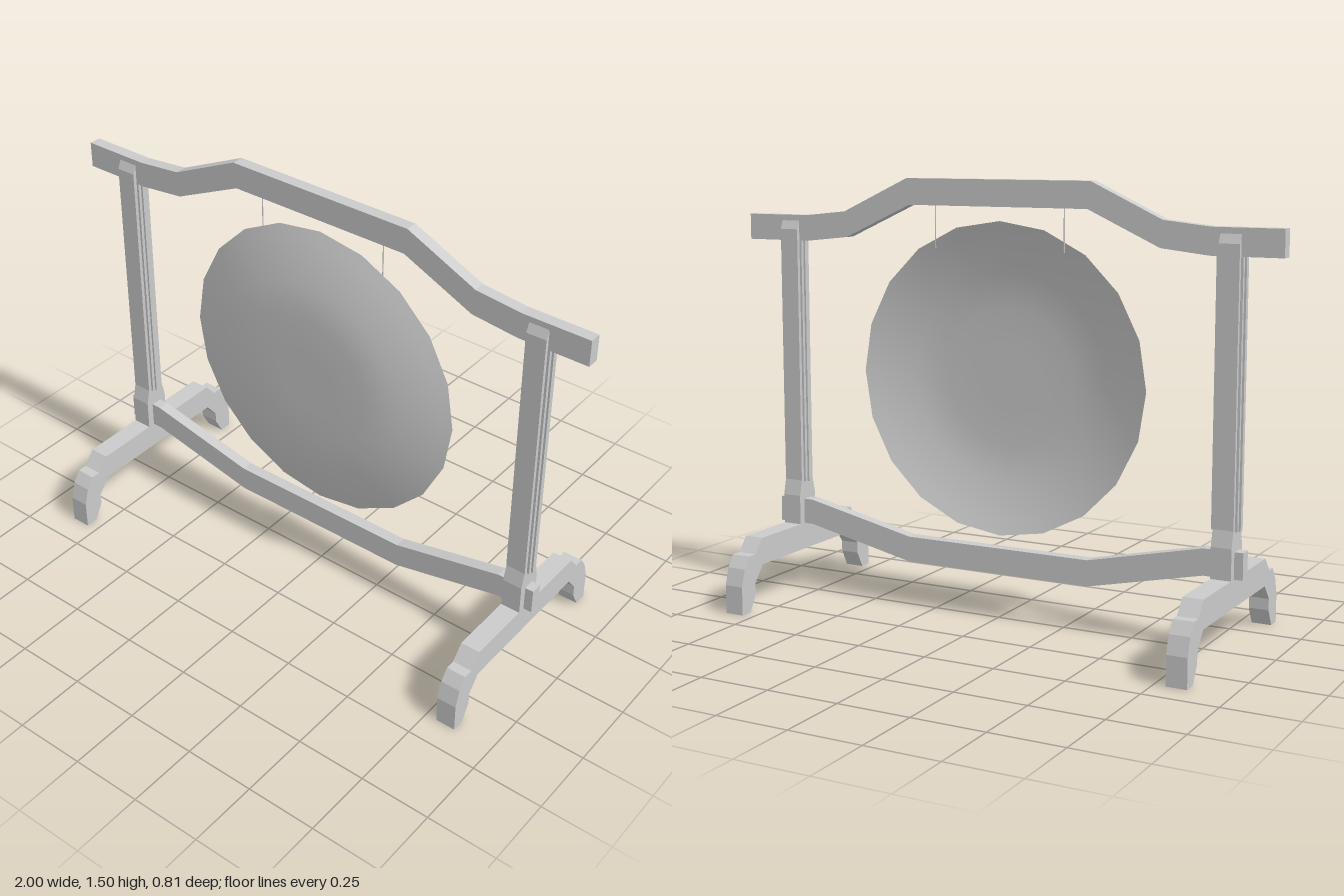
import * as THREE from 'three';

const material = new THREE.MeshStandardMaterial({ color: 0xcccccc, side: THREE.DoubleSide });

// Closed outline symmetric about the vertical axis, from its right half [u, v]
function mirroredShape(half) {
  const left = half.map(([u, v]) => [-u, v]).reverse();
  return new THREE.Shape([...half, ...left].map(([u, v]) => new THREE.Vector2(u, v)));
}

// Plate of the given thickness, centred on its own plane
function plate(name, half, thickness) {
  const geometry = new THREE.ExtrudeGeometry(mirroredShape(half), { depth: thickness, bevelEnabled: false });
  geometry.translate(0, 0, -thickness / 2);
  const mesh = new THREE.Mesh(geometry, material);
  mesh.name = name;
  return mesh;
}

function box(name, w, h, d, x, y, z) {
  const mesh = new THREE.Mesh(new THREE.BoxGeometry(w, h, d), material);
  mesh.name = name;
  mesh.position.set(x, y, z);
  return mesh;
}

export function createModel() {
  const model = new THREE.Group();
  model.name = 'gongStand';

  // Crossbeams
  model.add(plate('topBeam', [
    [0.335, 1.41], [0.59, 1.293], [0.755, 1.275], [1, 1.275],
    [1, 1.365], [0.76, 1.365], [0.598, 1.382], [0.345, 1.5],
  ], 0.042));
  model.add(plate('lowerBeam', [
    [0.345, 0.16], [0.755, 0.25], [0.89, 0.25],
    [0.89, 0.34], [0.755, 0.34], [0.345, 0.25],
  ], 0.042));

  for (const side of [-1, 1]) {
    const support = new THREE.Group();
    support.name = side > 0 ? 'leftSupport' : 'rightSupport';
    support.position.x = side * 0.825;

    // Post with flared base and chamfered top
    const post = plate('post', [
      [0.047, 0.24], [0.047, 0.355], [0.034, 0.41], [0.034, 1.315], [0.021, 1.345],
    ], 0.07);
    // Bracket foot running front to back
    const foot = plate('foot', [
      [0.28, 0.155], [0.325, 0.1], [0.325, 0.06], [0.357, 0], [0.403, 0],
      [0.403, 0.1], [0.385, 0.16], [0.357, 0.2], [0.322, 0.2], [0.28, 0.25],
    ], 0.07);
    post.rotation.y = foot.rotation.y = Math.PI / 2;
    support.add(post, foot);

    // Stepped moulding on the inner and outer faces of the post
    support.add(box('wideMoulding', 0.086, 0.87, 0.042, 0, 0.84, 0));
    support.add(box('narrowMoulding', 0.1, 0.87, 0.018, 0, 0.84, 0));
    model.add(support);

    // Hanging cord
    const cord = new THREE.Mesh(new THREE.CylinderGeometry(0.002, 0.002, 0.16, 6), material);
    cord.name = 'cord';
    cord.position.set(side * 0.243, 1.345, 0);
    model.add(cord);
  }

  // Shallow dished disc, open at the back
  const profile = [[0.537, 0.008], [0.5, 0.022], [0.365, 0.07], [0.24, 0.08], [0.12, 0.081], [0, 0.081]];
  const gong = new THREE.Mesh(
    new THREE.LatheGeometry(profile.map(([r, h]) => new THREE.Vector2(r, h)), 20), material);
  gong.name = 'gong';
  gong.rotation.x = Math.PI / 2;
  gong.position.y = 0.825;
  model.add(gong);

  return model;
}
